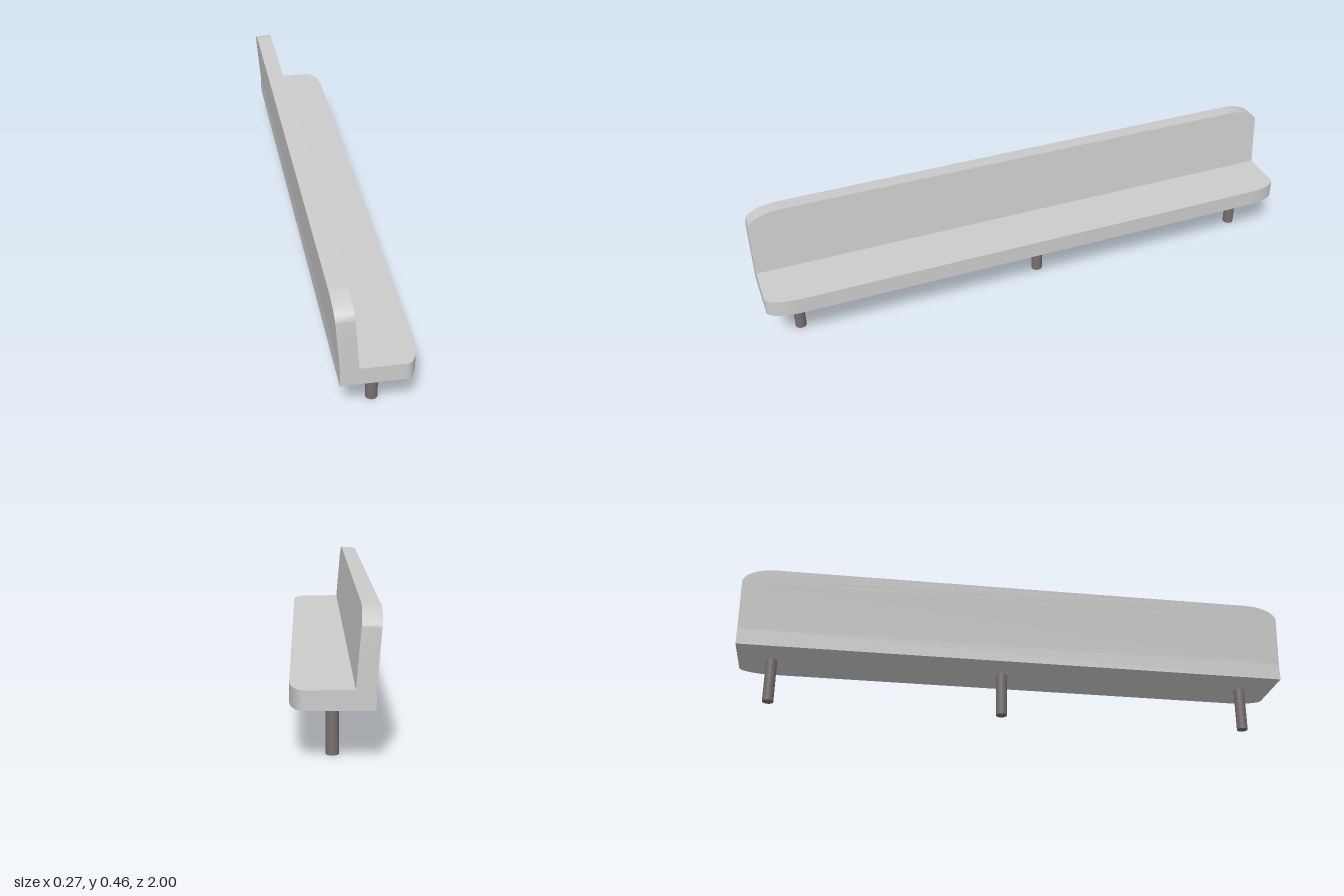
import * as THREE from 'three';
import { toCreasedNormals } from 'three/addons/utils/BufferGeometryUtils.js';

const HALF_LENGTH = 1;
const SEAT_BOTTOM = 0.161;
const SEAT_TOP = 0.222;
const SEAT_BACK = -0.118;
const SEAT_FRONT = 0.135;

// Long slab of unit thickness whose two far corners are rounded by quarter ellipses
function slab(depth, rx, ry) {
  const s = new THREE.Shape();
  s.moveTo(-HALF_LENGTH, 0);
  s.lineTo(HALF_LENGTH, 0);
  s.lineTo(HALF_LENGTH, depth - ry);
  s.absellipse(HALF_LENGTH - rx, depth - ry, rx, ry, 0, Math.PI / 2, false);
  s.lineTo(-HALF_LENGTH + rx, depth);
  s.absellipse(-HALF_LENGTH + rx, depth - ry, rx, ry, Math.PI / 2, Math.PI, false);
  s.closePath();
  return new THREE.ExtrudeGeometry(s, { depth: 1, bevelEnabled: false, curveSegments: 12 });
}

// Moves every vertex by a rule, then restores normals with sharp edges
function remap(geometry, rule) {
  const p = geometry.attributes.position;
  for (let i = 0; i < p.count; i++) {
    p.setXYZ(i, ...rule(p.getX(i), p.getY(i), p.getZ(i)));
  }
  return toCreasedNormals(geometry, 0.5);
}

export function createModel() {
  const group = new THREE.Group();
  group.name = 'bench';
  const { lerp } = THREE.MathUtils;
  const padding = new THREE.MeshStandardMaterial({ color: 0xcccccc });
  const metal = new THREE.MeshStandardMaterial({ color: 0x766f6d });

  // Seat: flat slab, rounded at the front corners
  const seatGeometry = remap(slab(SEAT_FRONT - SEAT_BACK, 0.12, 0.045), (along, out, up) => [
    SEAT_BACK + out,
    lerp(SEAT_BOTTOM, SEAT_TOP, up),
    along,
  ]);
  const seat = new THREE.Mesh(seatGeometry, padding);
  seat.name = 'seat';
  group.add(seat);

  // Backrest: leaning slab, rounded at the top corners
  const backGeometry = remap(slab(1, 0.12, 0.23), (along, up, out) => [
    lerp(lerp(SEAT_BACK, -0.137, up), lerp(-0.058, -0.078, up), out),
    lerp(SEAT_TOP, lerp(0.453, 0.458, out), up),
    -along,
  ]);
  const back = new THREE.Mesh(backGeometry, padding);
  back.name = 'backrest';
  group.add(back);

  // Three round legs
  const legGeometry = new THREE.CylinderGeometry(0.02, 0.02, SEAT_BOTTOM, 32);
  for (const [name, z] of [['frontLeg', 0.88], ['middleLeg', -0.04], ['rearLeg', -0.88]]) {
    const leg = new THREE.Mesh(legGeometry, metal);
    leg.name = name;
    leg.position.set(0.007, SEAT_BOTTOM / 2, z);
    group.add(leg);
  }
  return group;
}
